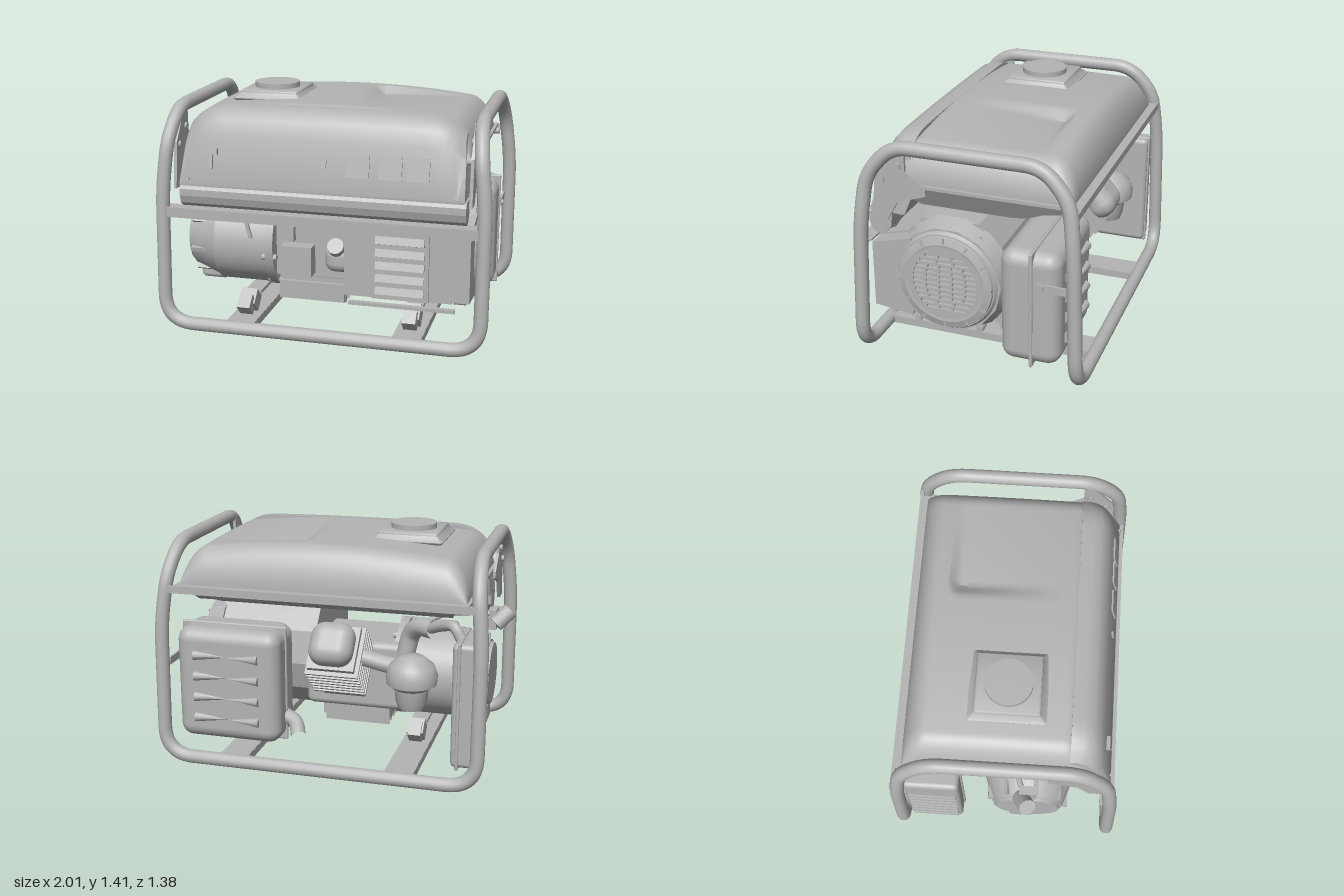
import * as THREE from 'three';
import { mergeVertices, toCreasedNormals } from 'three/addons/utils/BufferGeometryUtils.js';
import { RoundedBoxGeometry } from 'three/addons/geometries/RoundedBoxGeometry.js';

const V = (x, y, z) => new THREE.Vector3(x, y, z);
const clamp = (v) => Math.min(1, Math.max(0, v));

export function createModel() {
  const model = new THREE.Group();
  const grey = new THREE.MeshStandardMaterial({ color: 0xb4b4b4 });
  grey.name = 'grey';

  const add = (name, geo, p = [0, 0, 0], r = [0, 0, 0]) => {
    const m = new THREE.Mesh(geo, grey);
    m.name = name;
    m.position.set(...p);
    m.rotation.set(...r);
    model.add(m);
    return m;
  };
  const box = (name, w, h, d, p, r) => add(name, new THREE.BoxGeometry(w, h, d), p, r);
  const rbox = (name, w, h, d, rad, p, r) => add(name, new RoundedBoxGeometry(w, h, d, 4, rad), p, r);
  const cyl = (name, rt, rb, h, p, r, n = 28) => add(name, new THREE.CylinderGeometry(rt, rb, h, n), p, r);
  const alongX = [0, 0, -Math.PI / 2];
  const cylX = (name, rEnd, rStart, x0, x1, y, z, n) =>
    cyl(name, rEnd, rStart, x1 - x0, [(x0 + x1) / 2, y, z], alongX, n);
  const pipe = (name, pts, r) => add(name, new THREE.TubeGeometry(
    new THREE.CatmullRomCurve3(pts.map((p) => V(...p))), 32, r, 12));
  // Move vertices by a rule, then restore smooth normals with sharp edges
  const deform = (geo, rule) => {
    geo.deleteAttribute('uv');
    geo.deleteAttribute('normal');
    const g = mergeVertices(geo, 1e-4), a = g.attributes.position, v = V(0, 0, 0);
    for (let i = 0; i < a.count; i++) {
      v.fromBufferAttribute(a, i);
      rule(v);
      a.setXYZ(i, v.x, v.y, v.z);
    }
    return toCreasedNormals(g, 0.6);
  };
  // Side profile given as [z, y] points, extruded from x0 to x1
  const profileX = (pts, x0, x1, steps = 1) => {
    const s = new THREE.Shape(pts.map(([z, y]) => new THREE.Vector2(-z, y)));
    return new THREE.ExtrudeGeometry(s, { depth: x1 - x0, steps, bevelEnabled: false })
      .rotateY(Math.PI / 2).translate(x0, 0, 0);
  };

  // Tubular frame: one closed loop with rounded corners
  const side = (x, xTop) => [
    V(x, 0.042, 0.65), V(x, 0.85, 0.615), V(xTop + (x - xTop) * 0.4, 1.14, 0.58), V(xTop, 1.308, 0.43),
    V(xTop, 1.308, -0.43), V(xTop + (x - xTop) * 0.4, 1.14, -0.585), V(x, 0.85, -0.62), V(x, 0.042, -0.645),
  ];
  const loop = [...side(0.955, 0.9), ...side(-0.925, -0.88).reverse()];
  const path = new THREE.CurvePath();
  const corner = loop.map((p, i) => {
    const a = loop[(i + loop.length - 1) % loop.length], b = loop[(i + 1) % loop.length];
    const r = Math.min(p.y < 0.1 ? 0.18 : 0.13, a.distanceTo(p) * 0.45, b.distanceTo(p) * 0.45);
    return [p.clone().lerp(a, r / a.distanceTo(p)), p, p.clone().lerp(b, r / b.distanceTo(p))];
  });
  corner.forEach((c, i) => {
    path.add(new THREE.QuadraticBezierCurve3(...c));
    path.add(new THREE.LineCurve3(c[2], corner[(i + 1) % corner.length][0]));
  });
  add('frame', new THREE.TubeGeometry(path, 400, 0.041, 14, true));
  box('frontCrossbar', 1.85, 0.055, 0.03, [0.015, 0.72, 0.63]);
  box('frontCrossbarLip', 1.85, 0.012, 0.08, [0.015, 0.745, 0.6]);
  box('rearTankRail', 1.84, 0.04, 0.02, [0.01, 1.06, -0.62]);

  // Base channels and tilted rubber mounts
  for (const x of [-0.47, 0.53]) {
    box('baseChannel', 0.17, 0.012, 1.28, [x, 0.06, 0]);
    for (const s of [-1, 1]) box('channelFlange', 0.012, 0.042, 1.28, [x + s * 0.08, 0.04, 0]);
    for (const [z, dz, t] of [[0.425, 0.07, 0.78], [-0.1, -0.035, -0.78]]) {
      box('mountBlock', 0.1, 0.1, 0.1, [x, 0.14, z], [t, 0, 0]);
      box('mountPad', 0.08, 0.09, 0.09, [x, 0.135, z + dz], [t, 0, 0]);
    }
    for (const z of [0.31, 0.05]) cyl('mountBolt', 0.022, 0.03, 0.05, [x, 0.14, z], [0, 0, 0], 12);
    box('mountStrap', 0.1, 0.02, 0.4, [x, 0.165, 0.16]);
  }

  // Fuel tank: domed top with a shallow sunken area
  const lip = (d) => Math.sqrt(1 - (1 - clamp(d / 0.14)) ** 2);
  const top = deform(new THREE.PlaneGeometry(2, 2, 100, 70).rotateX(-Math.PI / 2), (v) => {
    v.x = 0.01 + 0.84 * Math.sin(v.x * Math.PI / 2);
    v.z = -0.055 + 0.525 * Math.sin(v.z * Math.PI / 2);
    const edge = lip(0.84 - Math.abs(v.x - 0.01)) * lip(0.525 - Math.abs(v.z + 0.055));
    v.y = 1.08 + (0.268 - 0.085 * v.x * v.x - 0.04 * v.z * v.z) * edge;
    v.y -= 0.05 * clamp((v.x - 0.12) / 0.07) * clamp((v.z + 0.38) / 0.05)
      * clamp((0.73 - v.x) / 0.55) * clamp((0.28 - v.z) / 0.55);
  });
  add('tankTop', top);
  box('tankFlange', 1.72, 0.018, 1.05, [0.01, 1.075, -0.105]);
  const belly = [[0.44, 1.07], [0.425, 1], [0.4, 0.93], [0.35, 0.9], [-0.2, 0.9], [-0.28, 0.915], [-0.38, 0.96],
    [-0.5, 0.985], [-0.53, 1.01], [-0.545, 1.07]];
  add('tankBelly', deform(profileX(belly, -0.8, 0.8, 12), (v) => {
    v.x = v.x * (1 - 0.7 * (1.07 - v.y)) + 0.01;
  }));
  add('fillerBase', deform(new RoundedBoxGeometry(0.42, 0.06, 0.44, 4, 0.015), (v) => {
    const k = v.y > 0 ? 0.84 : 1;
    v.set(v.x * k - 0.41, v.y + 1.347, v.z * k);
  }));
  cyl('fuelCap', 0.135, 0.135, 0.035, [-0.41, 1.39, 0], [0, 0, 0], 36);
  cyl('fuelCapNeck', 0.11, 0.12, 0.04, [-0.41, 1.365, 0]);

  // Front control panel with rounded top corners
  const panel = [[0.36, 1.335], [0.43, 1.333], [0.48, 1.315], [0.52, 1.27], [0.55, 1.18], [0.61, 0.9], [0.608, 0.88],
    [0.4, 0.88], [0.36, 1]];
  add('controlPanel', deform(profileX(panel, -0.82, 0.84, 40), (v) => {
    const e = clamp((Math.abs(v.x - 0.01) - 0.55) / 0.28), h = clamp((v.y - 0.9) / 0.43);
    v.y -= 0.02 * v.x * v.x * h + 0.09 * e ** 3 * h;
    v.z -= 0.05 * e ** 4 * h * clamp((v.z - 0.36) / 0.15);
    v.x *= 1 - 0.03 * h * h * e;
  }));
  add('panelSill', profileX([[0.47, 0.885], [0.6, 0.885], [0.615, 0.86], [0.615, 0.82], [0.6, 0.775], [0.57, 0.75],
    [0.52, 0.75], [0.48, 0.8]], -0.82, 0.85));
  const onPanel = (name, x, y, w, h, d) =>
    box(name, w, h, d, [x, y, 0.55 + (1.18 - y) * 0.214], [-0.21, 0, 0]);
  for (const x of [0.235, 0.42, 0.575]) onPanel('outlet', x, 1.05, 0.13, 0.13, 0.018);
  onPanel('switchPlate', -0.63, 1.085, 0.075, 0.035, 0.04);
  onPanel('switchLever', -0.63, 1.03, 0.02, 0.09, 0.03);
  onPanel('indicator', 0.04, 1.05, 0.025, 0.045, 0.02);
  for (const x of [-0.77, 0.79]) onPanel('panelScrew', x, 0.92, 0.018, 0.018, 0.015);

  // Side gussets joining panel, tank and frame
  const gusset = [[0.55, 1.12], [0.42, 1.3], [0.37, 1.3], [0.37, 1.16], [0.25, 1.07], [0.25, 1.03], [0.42, 0.97],
    [0.49, 0.85], [0.58, 0.85]];
  for (const x of [-0.87, 0.86]) {
    add('sideGusset', profileX(gusset, x, x + 0.018));
    for (const [z, y] of [[0.51, 1.1], [0.41, 1.19], [-0.55, 1.05]])
      cylX('gussetBolt', 0.02, 0.02, x - 0.015, x + 0.03, y, z, 8);
  }
  pipe('fuelHose', [[0.7, 0.98, 0.46], [0.72, 0.9, 0.49], [0.72, 0.84, 0.48], [0.7, 0.72, 0.55]], 0.018);

  // Engine blower housing and side shroud
  add('blowerHousing', profileX([[0.59, 0.29], [0.59, 0.71], [0.4, 0.76], [0.32, 0.85], [-0.02, 0.86], [-0.14, 0.72],
    [-0.18, 0.52], [-0.13, 0.35], [0, 0.22], [0.2, 0.2], [0.36, 0.26]], 0.16, 0.78));
  add('shroudTaper', profileX([[0.59, 0.3], [0.59, 0.7], [0.35, 0.76], [0.3, 0.4], [0.36, 0.27]], 0.78, 0.88));
  cylX('shroudRim', 0.32, 0.36, 0.77, 0.87, 0.53, 0.14, 14);
  cylX('starterBack', 0.29, 0.31, 0.86, 0.89, 0.53, 0.14, 36);
  // Flat starter ring with ribs
  const ring = [[0.225, 0], [0.285, 0], [0.28, 0.02], [0.24, 0.032], [0.225, 0.03]].map((p) => new THREE.Vector2(...p));
  add('starterRing', toCreasedNormals(new THREE.LatheGeometry(ring, 40), 0.4), [0.885, 0.53, 0.14], alongX);
  for (let i = 0; i < 12; i++) {
    const a = i * Math.PI / 6;
    box('starterRib', 0.01, 0.05, 0.012, [0.91, 0.53 + 0.255 * Math.cos(a), 0.14 + 0.255 * Math.sin(a)], [a, 0, 0]);
  }
  // Slotted starter grille
  const disc = new THREE.Shape().absarc(0, 0, 0.235, 0, Math.PI * 2);
  for (let i = -5; i <= 5; i++) {
    const y = i * 0.032, half = Math.sqrt(0.2 ** 2 - y * y), n = Math.abs(i) > 3 ? 3 : 5, w = 2 * half / n;
    for (let k = 0; k < n; k++) {
      const a = -half + k * w + 0.007, b = a + w - 0.014;
      disc.holes.push(new THREE.Path([[a, y - 0.009], [a, y + 0.009], [b, y + 0.009], [b, y - 0.009]]
        .map((p) => new THREE.Vector2(...p))));
    }
  }
  add('starterGrille', new THREE.ExtrudeGeometry(disc, { depth: 0.015, bevelEnabled: false, curveSegments: 32 }),
    [0.895, 0.53, 0.14], [0, Math.PI / 2, 0]);
  for (const [y, z] of [[0.79, -0.04], [0.79, 0.35], [0.22, 0.35], [0.22, -0.03]])
    cylX('shroudBolt', 0.022, 0.022, 0.76, 0.83, y, z, 8);
  // Front air louvres
  box('louvrePanel', 0.33, 0.4, 0.02, [0.485, 0.49, 0.595]);
  for (let i = 0; i < 5; i++) box('louvre', 0.28, 0.045, 0.03, [0.485, 0.34 + i * 0.075, 0.605], [-0.35, 0, 0]);
  box('guardRail', 0.62, 0.02, 0.03, [0.48, 0.22, 0.52]);

  // Crankcase, front details and finned sump
  rbox('crankcase', 0.6, 0.42, 0.5, 0.04, [-0.08, 0.47, 0.1]);
  box('ignitionBox', 0.19, 0.18, 0.12, [-0.175, 0.41, 0.38]);
  box('ignitionPlug', 0.04, 0.09, 0.05, [-0.22, 0.56, 0.37]);
  rbox('oilFillerBoss', 0.16, 0.16, 0.16, 0.06, [0.08, 0.44, 0.38]);
  cyl('oilFillerCap', 0.05, 0.05, 0.07, [0.075, 0.515, 0.44], [0.9, 0, 0], 12);
  box('sump', 0.42, 0.1, 0.46, [-0.09, 0.24, 0.12]);
  for (let i = 0; i < 7; i++) box('sumpFin', 0.4, 0.06, 0.018, [-0.09, 0.175, -0.08 + i * 0.07]);
  box('sumpBracket', 0.4, 0.11, 0.03, [-0.09, 0.215, 0.38]);

  // Inclined finned cylinder with valve cover
  const head = new THREE.Group();
  head.name = 'cylinderHead';
  head.position.set(-0.04, 0.45, -0.12);
  head.rotation.x = -Math.PI / 2 + 0.72;
  model.add(head);
  const onHead = (name, geo, y) => {
    const m = add(name, geo);
    m.position.y = y;
    head.add(m);
  };
  onHead('cylinderBarrel', new THREE.BoxGeometry(0.25, 0.4, 0.25), 0.2);
  for (let i = 0; i < 7; i++) onHead('coolingFin', new THREE.BoxGeometry(0.32, 0.014, 0.32), 0.12 + i * 0.042);
  onHead('valveCoverBase', new THREE.BoxGeometry(0.28, 0.03, 0.28), 0.41);
  onHead('valveCover', new RoundedBoxGeometry(0.26, 0.18, 0.26, 4, 0.085), 0.47);

  // Muffler with rear louvres
  rbox('muffler', 0.64, 0.69, 0.35, 0.08, [0.6, 0.455, -0.355]);
  rbox('mufflerSeam', 0.66, 0.71, 0.022, 0.01, [0.6, 0.455, -0.37]);
  for (let i = 0; i < 4; i++)
    for (const s of [-1, 1])
      add('mufflerLouvre', new THREE.ConeGeometry(0.03, 0.2, 8), [0.6 + s * 0.1, 0.25 + i * 0.13, -0.53], [0, 0, s * Math.PI / 2]);
  box('mufflerStrap', 0.012, 0.045, 0.2, [0.925, 0.615, -0.5]);
  cylX('mufflerStrapBolt', 0.018, 0.018, 0.9, 0.945, 0.615, -0.43, 8);
  pipe('tailPipe', [[0.3, 0.25, -0.35], [0.22, 0.22, -0.38], [0.18, 0.16, -0.45]], 0.045);

  // Alternator drum and end bell
  cylX('alternatorDrum', 0.275, 0.275, -0.7, -0.35, 0.455, 0.14, 36);
  cylX('alternatorFlange', 0.3, 0.3, -0.37, -0.32, 0.47, 0.14, 36);
  cylX('alternatorBell', 0.27, 0.21, -0.87, -0.7, 0.46, 0.14, 24);
  cylX('alternatorEndCover', 0.2, 0.19, -0.89, -0.86, 0.46, 0.14, 28);
  for (let i = 0; i < 8; i++) {
    const a = i * Math.PI / 4 + 0.2, y = Math.cos(a), z = Math.sin(a);
    cylX('flangeBolt', 0.02, 0.02, -0.39, -0.3, 0.47 + 0.28 * y, 0.14 + 0.28 * z, 8);
    box('bellRib', 0.14, 0.05, 0.025, [-0.79, 0.46 + 0.22 * y, 0.14 + 0.22 * z], [a, 0, 0]);
  }
  rbox('terminalCover', 0.16, 0.08, 0.12, 0.02, [-0.55, 0.66, 0.36]);
  box('terminalLever', 0.02, 0.14, 0.02, [-0.47, 0.6, 0.44], [0, 0, 0.25]);
  rbox('alternatorFoot', 0.18, 0.14, 0.16, 0.03, [-0.79, 0.23, 0.1]);

  // Air cleaner, carburettor and intake pipes
  rbox('airCleaner', 0.14, 0.73, 0.33, 0.03, [-0.83, 0.49, -0.43]);
  rbox('airCleanerSeam', 0.02, 0.75, 0.35, 0.01, [-0.8, 0.49, -0.43]);
  for (let i = 0; i < 7; i++) box('airCleanerRib', 0.02, 0.018, 0.28, [-0.902, 0.2 + i * 0.075, -0.43]);
  const bowl = [[0, 0.4], [0.075, 0.4], [0.09, 0.44], [0.1, 0.52], [0.145, 0.55], [0.15, 0.6], [0.13, 0.66], [0.07, 0.71],
    [0, 0.72]].map((p) => new THREE.Vector2(...p));
  add('carburettor', toCreasedNormals(new THREE.LatheGeometry(bowl, 28), 0.6), [-0.5, 0, -0.42]);
  pipe('intakeTube', [[-0.5, 0.62, -0.38], [-0.36, 0.63, -0.37], [-0.24, 0.65, -0.36], [-0.1, 0.68, -0.36]], 0.05);
  pipe('intakeElbow', [[-0.42, 0.66, -0.22], [-0.45, 0.78, -0.22], [-0.5, 0.84, -0.26], [-0.6, 0.85, -0.32]], 0.055);
  pipe('breatherPipe', [[-0.58, 0.85, -0.3], [-0.66, 0.89, -0.37], [-0.74, 0.91, -0.44], [-0.79, 0.84, -0.46]], 0.032);
  pipe('fuelLine', [[-0.45, 0.66, -0.24], [-0.47, 0.78, -0.14], [-0.6, 0.85, 0], [-0.86, 0.85, 0.1]], 0.016);

  // Fuel tap on the outer side
  cyl('fuelTap', 0.05, 0.05, 0.12, [-0.94, 0.825, 0.12], [0, 0.5, 0.85], 14);
  box('fuelTapBracket', 0.05, 0.12, 0.1, [-0.88, 0.81, 0.14]);
  return model;
}
